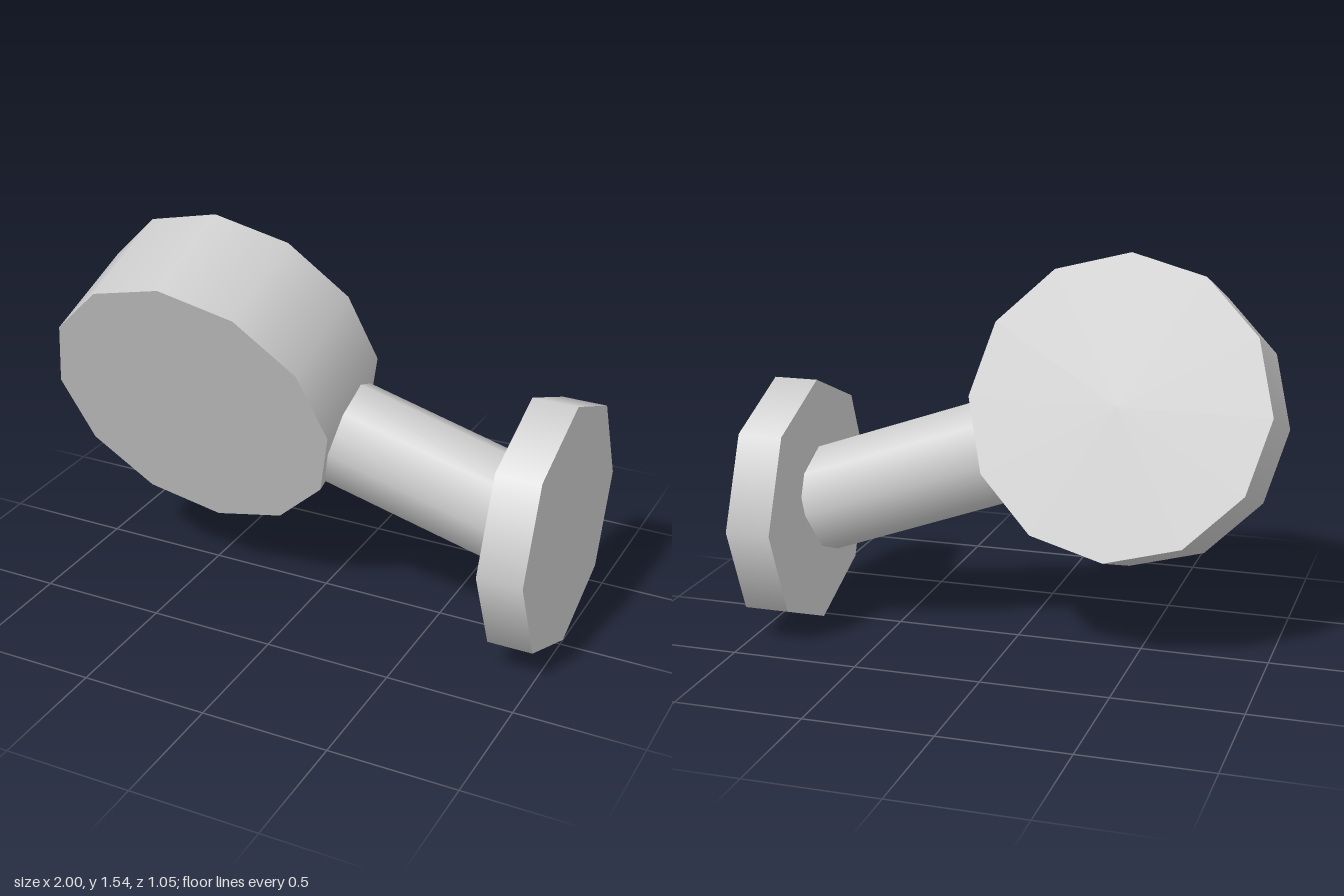
import * as THREE from 'three';

export function createModel() {
  const model = new THREE.Group();
  const grey = new THREE.MeshStandardMaterial({ color: 0xcccccc });
  grey.name = 'light grey';

  // Cylinder centred between two points, one corner turned as far up as possible
  function cylinderBetween(name, start, end, radius, sides) {
    const axis = end.clone().sub(start);
    const mesh = new THREE.Mesh(new THREE.CylinderGeometry(radius, radius, axis.length(), sides), grey);
    axis.normalize();
    const up = new THREE.Vector3(0, 1, 0).addScaledVector(axis, -axis.y).normalize();
    const side = axis.clone().cross(up);
    mesh.quaternion.setFromRotationMatrix(new THREE.Matrix4().makeBasis(side, axis, up));
    mesh.position.copy(start).add(end).multiplyScalar(0.5);
    mesh.name = name;
    model.add(mesh);
  }

  const headCentre = new THREE.Vector3(-0.416, 0.915, 0.113);
  const mountCentre = new THREE.Vector3(0.823, 0.497, -0.032);

  // Tilted head: front face looks forward and down
  const halfDepth = new THREE.Vector3(0, -0.076, 0.215);
  cylinderBetween('head', headCentre.clone().sub(halfDepth), headCentre.clone().add(halfDepth), 0.584, 12);

  // Arm from the middle of the head to the mounting plate
  cylinderBetween('arm', headCentre, mountCentre, 0.212, 8);

  // Upright mounting plate
  cylinderBetween('mountingPlate', mountCentre, mountCentre.clone().setX(1), 0.497, 8);

  return model;
}
